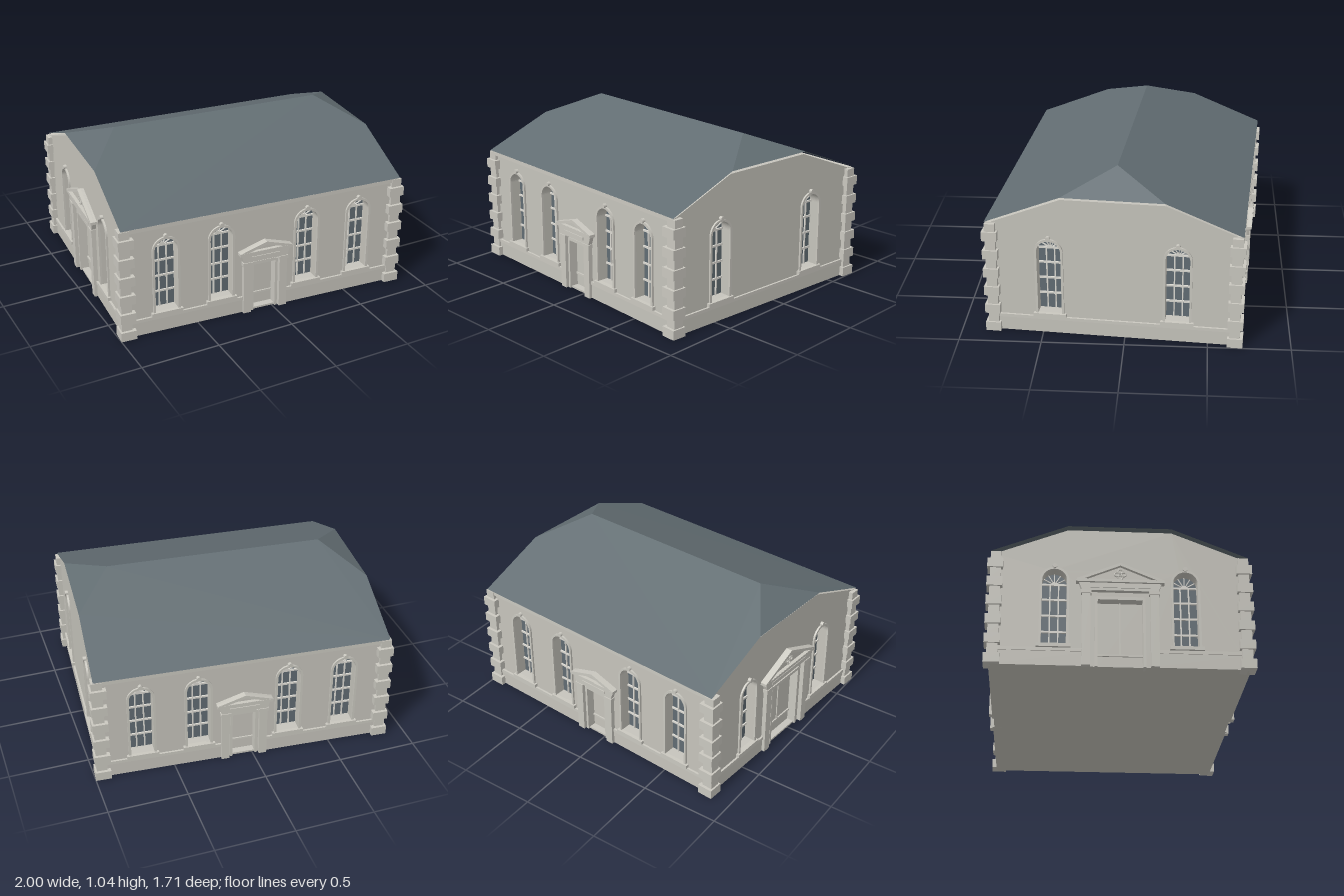
import * as THREE from 'three';

const mat = (name, color, extra = {}) => Object.assign(new THREE.MeshStandardMaterial({ color, ...extra }), { name });

export function createModel() {
  const wallMat = mat('stone wall', 0xc6c4bc);
  const trimMat = mat('stone trim', 0xcac8c0);
  const roofMat = mat('slate roof', 0x626d72, { side: THREE.DoubleSide });
  const glassMat = mat('window glass', 0x616c73);
  const barMat = mat('window bars', 0xdcdad3);

  const HX = 0.905, HZ = 0.745, EAVE = 0.72, DEPTH = 0.07;
  const WIN = { r: 0.0725, y0: 0.135, spring: 0.55 };

  const model = new THREE.Group();
  const add = (parent, name, geo, material, x = 0, y = 0, z = 0) => {
    const m = new THREE.Mesh(geo, material);
    m.name = name;
    m.position.set(x, y, z);
    parent.add(m);
    return m;
  };
  // box given by its min and max corners
  const box = (parent, name, material, x0, x1, y0, y1, z0, z1) =>
    add(parent, name, new THREE.BoxGeometry(x1 - x0, y1 - y0, z1 - z0), material,
      (x0 + x1) / 2, (y0 + y1) / 2, (z0 + z1) / 2);
  const poly = (pts, Type = THREE.Shape) => new Type(pts.map(p => new THREE.Vector2(...p)));
  const rect = (x0, x1, y0, y1, Type) => poly([[x0, y0], [x1, y0], [x1, y1], [x0, y1]], Type);
  const arch = (x, r, y0, spring, Type = THREE.Shape) => {
    const s = new Type();
    s.moveTo(x - r, y0);
    s.lineTo(x + r, y0);
    s.lineTo(x + r, spring);
    s.absarc(x, spring, r, 0, Math.PI, false);
    s.lineTo(x - r, y0);
    return s;
  };
  const extrude = (shape, depth) =>
    new THREE.ExtrudeGeometry(shape, { depth, bevelEnabled: false, curveSegments: 14 });

  // round-headed window, set deep in the wall
  function addWindow(side, x) {
    const g = new THREE.Group();
    g.name = 'archedWindow';
    g.position.x = x;
    side.add(g);
    const { r, y0, spring } = WIN;
    const frame = arch(0, r + 0.014, y0, spring);
    frame.holes.push(arch(0, r, y0, spring, THREE.Path));
    add(g, 'architrave', extrude(frame, 0.014), trimMat, 0, 0, -0.002);
    box(g, 'sill', trimMat, -0.1, 0.1, y0 - 0.022, y0, -0.01, 0.022);
    const key = add(g, 'keystone', new THREE.CylinderGeometry(0.014, 0.014, 0.022, 14), trimMat, 0, 0.642, 0.009);
    key.rotation.x = Math.PI / 2;
    add(g, 'glass', new THREE.ShapeGeometry(arch(0, r, y0, spring), 14), glassMat, 0, 0, -0.064);
    const zb = -0.063, zt = -0.054;
    for (const bx of [-0.025, 0.025])
      box(g, 'verticalBar', barMat, bx - 0.004, bx + 0.004, y0, spring, zb, zt);
    for (const by of [0.24, 0.345, 0.45, 0.55])
      box(g, 'crossBar', barMat, -r, r, by - 0.006, by + 0.006, zb, zt);
    const hub = add(g, 'fanHub', new THREE.CircleGeometry(0.02, 12, 0, Math.PI), barMat, 0, spring, zt);
    hub.scale.set(1, 0.9, 1);
    for (let i = 1; i < 6; i++) {
      const a = i * Math.PI / 6;
      const bar = add(g, 'fanBar', new THREE.BoxGeometry(r, 0.005, 0.008), barMat,
        Math.cos(a) * r / 2, spring + Math.sin(a) * r / 2, -0.059);
      bar.rotation.z = a;
    }
  }

  // door case: pilasters, entablature, pediment and a recessed door
  function addDoor(side, d) {
    const g = new THREE.Group();
    g.name = d.name;
    side.add(g);
    for (const s of [-1, 1]) {
      const [a, b] = [s * d.inner, s * d.outer].sort((p, q) => p - q);
      box(g, 'pilaster', trimMat, a, b, 0, d.top, -0.005, 0.028);
      box(g, 'pilasterCap', trimMat, a - 0.006, b + 0.006, d.top - 0.022, d.top, -0.005, 0.033);
      box(g, 'doorJamb', trimMat, s * d.half - 0.008, s * d.half + 0.008, 0, d.doorTop, -0.05, 0.012);
    }
    box(g, 'doorHead', trimMat, -d.half, d.half, d.doorTop - 0.012, d.doorTop + 0.008, -0.05, 0.012);
    // flared frieze
    add(g, 'frieze', extrude(poly([[-d.outer, d.top], [d.outer, d.top],
      [d.outer + 0.018, d.cornice], [-d.outer - 0.018, d.cornice]]), 0.032), trimMat, 0, 0, -0.004);
    const mid = (d.top + d.cornice) / 2;
    box(g, 'friezePanel', trimMat, -d.inner, d.inner, mid - 0.009, mid + 0.009, 0.02, 0.033);
    box(g, 'cornice', trimMat, -d.eaves, d.eaves, d.cornice, d.cornice + 0.018, -0.005, 0.042);
    // open pediment over a set-back tympanum
    const yb = d.cornice + 0.018, h = d.apex - yb;
    const ped = poly([[-d.eaves, yb], [d.eaves, yb], [0, d.apex]]);
    const k = 1 - 0.02 / h;
    ped.holes.push(poly([[-d.eaves * k, yb + 0.001], [d.eaves * k, yb + 0.001], [0, yb + h * k]], THREE.Path));
    add(g, 'pediment', extrude(ped, 0.045), trimMat, 0, 0, -0.004);
    add(g, 'tympanum', extrude(poly([[-d.eaves, yb], [d.eaves, yb], [0, d.apex]]), 0.022), wallMat, 0, 0, -0.003);
    // door leaf
    box(g, 'doorLeaf', wallMat, -d.half, d.half, 0, d.doorTop, -0.066, -0.045);
    box(g, 'doorRail', trimMat, -d.half, d.half, 0.085, 0.097, -0.045, -0.036);
    if (d.ornament) {
      box(g, 'doorMeetingStile', trimMat, -0.005, 0.005, 0.097, d.doorTop - 0.012, -0.045, -0.038);
      for (let i = 0; i < 4; i++) {
        const a = i * Math.PI / 2;
        add(g, 'pedimentRing', new THREE.TorusGeometry(0.013, 0.005, 6, 14), trimMat,
          Math.cos(a) * 0.02, yb + 0.04 + Math.sin(a) * 0.02, 0.024);
      }
    }
  }

  // one facade, built facing +z with its face on z = 0
  function addSide(name, outline, halfWidth, dist, angle, windows, door) {
    const side = new THREE.Group();
    side.name = name;
    side.rotation.y = angle;
    side.position.set(Math.sin(angle) * dist, 0, Math.cos(angle) * dist);
    model.add(side);
    const shape = poly(outline);
    for (const x of windows) shape.holes.push(arch(x, WIN.r, WIN.y0, WIN.spring, THREE.Path));
    if (door) shape.holes.push(rect(-door.half, door.half, 0.012, door.doorTop, THREE.Path));
    add(side, 'wall', extrude(shape, DEPTH), wallMat, 0, 0, -DEPTH);
    // plinth and string course stop at the door case
    const runs = door ? [[-halfWidth, -door.inner], [door.inner, halfWidth]] : [[-halfWidth, halfWidth]];
    for (const [a, b] of runs) {
      box(side, 'plinth', wallMat, a, b, 0, 0.09, -0.01, 0.008);
      box(side, 'stringCourse', trimMat, a, b, 0.09, 0.11, -0.01, 0.013);
    }
    for (const x of windows) addWindow(side, x);
    if (door) addDoor(side, door);
    return side;
  }

  const longOutline = [[-0.9, 0], [0.9, 0], [0.9, EAVE], [-0.9, EAVE]];
  const gableOutline = [[-HZ, 0], [HZ, 0], [HZ, EAVE], [0.31, 0.895], [-0.31, 0.895], [-HZ, EAVE]];
  const longWindows = [-0.64, -0.285, 0.285, 0.64], gableWindows = [-0.386, 0.386];
  const smallDoor = { name: 'doorCase', half: 0.08, inner: 0.095, outer: 0.145, doorTop: 0.335,
    top: 0.355, cornice: 0.41, eaves: 0.175, apex: 0.483 };
  const portal = { name: 'mainPortal', half: 0.14, inner: 0.175, outer: 0.225, doorTop: 0.44,
    top: 0.48, cornice: 0.53, eaves: 0.26, apex: 0.66, ornament: true };

  for (const [name, angle] of [['frontFacade', 0], ['backFacade', Math.PI]]) {
    const side = addSide(name, longOutline, 0.9, HZ, angle, longWindows, smallDoor);
    box(side, 'eavesCornice', trimMat, -0.91, 0.91, 0.702, 0.727, -0.02, 0.017);
  }
  addSide('leftGable', gableOutline, HZ, HX, Math.PI / 2, gableWindows, null);
  addSide('rightGable', gableOutline, HZ, HX, -Math.PI / 2, gableWindows, portal);
  box(model, 'floor', wallMat, -0.9, 0.9, 0, 0.012, -0.74, 0.74);

  // alternating corner stones
  const span = (s, a, b) => s > 0 ? [a, b] : [-b, -a];
  for (const sx of [-1, 1]) for (const sz of [-1, 1]) for (let i = 0; i < 6; i++) {
    const y = i * 0.1225;
    box(model, 'longQuoin', trimMat, ...span(sx, 0.845, 0.943), y, y + 0.059, ...span(sz, 0.69, 0.783));
    box(model, 'shortQuoin', trimMat, ...span(sx, 0.866, 0.932), y + 0.059, Math.min(y + 0.1225, 0.722),
      ...span(sz, 0.702, 0.765));
  }

  // half-hipped roof: two slopes and two small hips
  const eave = [0.92, 0.73, 0.767], hip = [0.92, 0.915, 0.31], ridge = [0.69, 1.04, 0];
  const at = (p, sx, sz) => [p[0] * sx, p[1], p[2] * sz];
  const pos = [];
  const tri = (a, b, c, flip) => pos.push(...a, ...(flip ? [...c, ...b] : [...b, ...c]));
  for (const s of [-1, 1]) {
    const ring = [at(eave, -1, s), at(eave, 1, s), at(hip, 1, s), at(ridge, 1, s), at(ridge, -1, s), at(hip, -1, s)];
    for (let i = 1; i < 5; i++) tri(ring[0], ring[i], ring[i + 1], s < 0);
    tri(at(hip, s, 1), at(hip, s, -1), at(ridge, s, 1), s < 0);
  }
  const roofGeo = new THREE.BufferGeometry();
  roofGeo.setAttribute('position', new THREE.Float32BufferAttribute(pos, 3));
  roofGeo.computeVertexNormals();
  add(model, 'roof', roofGeo, roofMat);

  // the building stands slightly turned
  model.rotation.y = -0.077;
  const root = new THREE.Group();
  root.name = 'building';
  root.add(model);
  return root;
}
